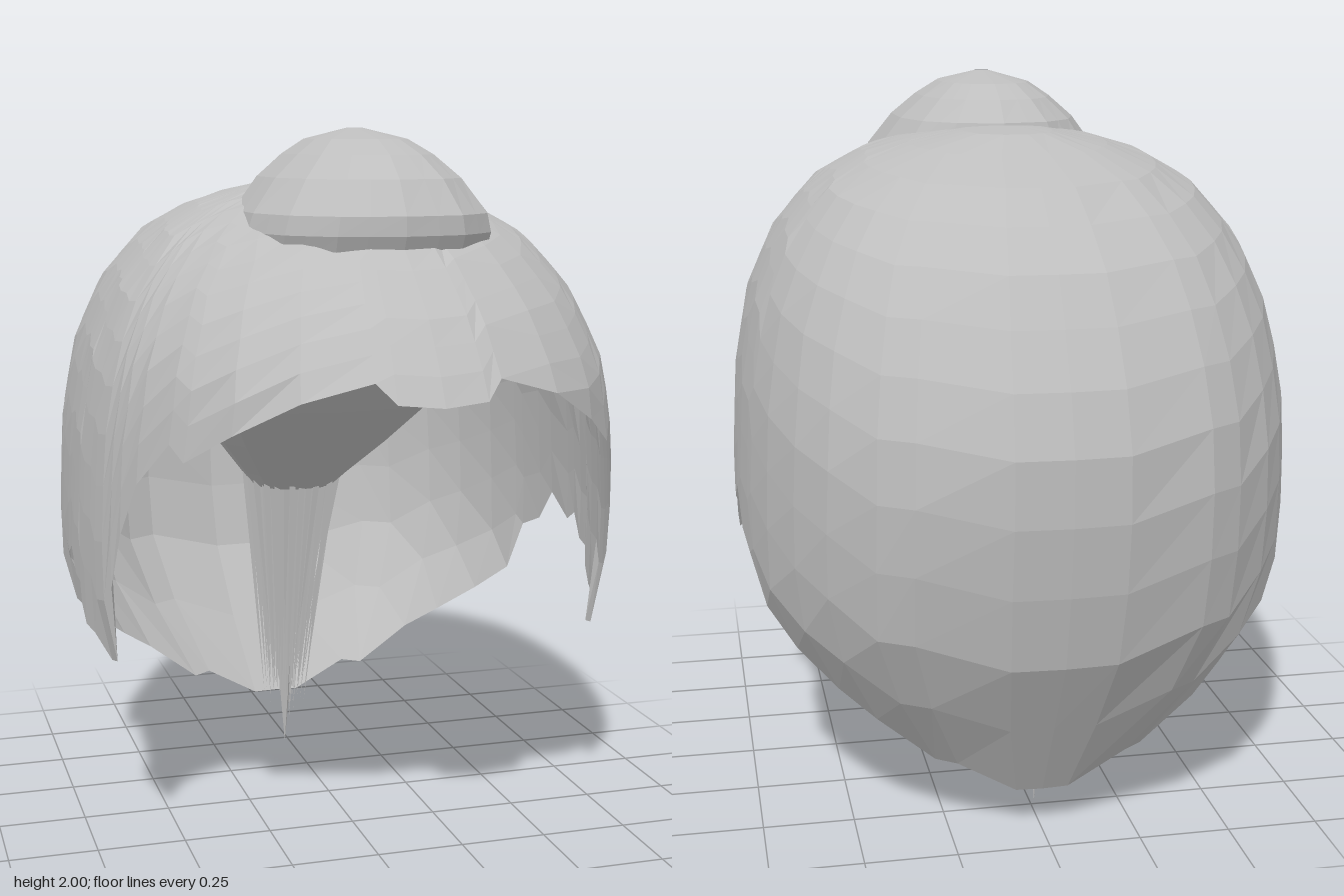
import * as THREE from 'three';

const hairGrey = new THREE.MeshStandardMaterial({ color: 0xbebebe, flatShading: true, side: THREE.DoubleSide });
hairGrey.name = 'hairGrey';

// Piecewise linear lookup in a list of [key, value] with falling keys.
function lookup(list, k) {
  if (k >= list[0][0]) return list[0][1];
  for (let i = 1; i < list.length; i++) {
    const [k0, v0] = list[i - 1], [k1, v1] = list[i];
    if (k >= k1) return v0 + (v1 - v0) * (k0 - k) / (k0 - k1);
  }
  return list[list.length - 1][1];
}

// Skin closed rings of points, listed from top to bottom.
function loft(rings) {
  const n = rings[0].length, index = [];
  for (let r = 0; r < rings.length - 1; r++) {
    for (let i = 0; i < n; i++) {
      const a = r * n + i, b = r * n + (i + 1) % n;
      index.push(a, a + n, b, b, a + n, b + n);
    }
  }
  const g = new THREE.BufferGeometry();
  g.setAttribute('position', new THREE.Float32BufferAttribute(rings.flat(2), 3));
  g.setIndex(index);
  g.computeVertexNormals();
  return g;
}

function addMesh(group, name, geometry) {
  const m = new THREE.Mesh(geometry, hairGrey);
  m.name = name;
  group.add(m);
}

// Cap outline by height: reach to the front, to the back and to the sides.
const TOP = 1.87;
const front = [[1.87, 0], [1.82, 0.35], [1.69, 0.7], [1.53, 0.88], [1.4, 0.97], [1.34, 1]];
const back = [[1.87, 0], [1.86, 0.25], [1.74, 0.6], [1.53, 0.82], [1.3, 0.94], [1.1, 1],
  [0.85, 0.98], [0.58, 0.92], [0.45, 0.85], [0.22, 0.7], [0.12, 0.65]];
const side = [[1.87, 0], [1.85, 0.2], [1.8, 0.38], [1.72, 0.52], [1.58, 0.64], [1.4, 0.72],
  [1.18, 0.76], [0.9, 0.775], [0.65, 0.77], [0.5, 0.7], [0.3, 0.57], [0.12, 0.38]];

// Jagged hairline of one side, front to back, as [z, y].
const hairline = [[1, 1.34], [0.985, 1.35], [0.95, 1.4], [0.9, 1.35], [0.79, 1.26], [0.68, 1.18], [0.63, 1.22],
  [0.52, 1.1], [0.45, 0.95], [0.4, 0.8], [0.35, 0.58], [0.3, 0.57], [0.26, 0.64], [0.2, 0.65],
  [0.16, 0.7], [0.15, 0.76], [0.1, 0.77], [0.05, 0.84], [0, 0.81], [-0.12, 0.87], [-0.2, 0.77],
  [-0.3, 0.73], [-0.33, 0.58], [-0.43, 0.49], [-0.52, 0.4], [-0.58, 0.33], [-0.6, 0.21],
  [-0.64, 0.21], [-0.645, 0.12], [-0.65, 0.12]];

function capGeometry() {
  const columns = hairline.map(([z, y]) => ({
    rim: y, u: THREE.MathUtils.clamp(z / lookup(z > 0 ? front : back, y), -1, 1), sx: 1 }));
  const mirrored = columns.slice(1, -1).reverse().map((c) => ({ ...c, sx: -1 }));
  const rings = [], rows = 13;
  for (let r = 0; r <= rows; r++) {
    rings.push([...columns, ...mirrored].map(({ rim, u, sx }) => {
      const y = TOP - (TOP - rim) * (r / rows) ** 1.8;
      const p = u > 0 ? 2.1 : 2.4;
      const x = lookup(side, y) * (1 - Math.abs(u) ** p) ** (1 / p);
      return [sx * x, y, u * lookup(u > 0 ? front : back, y)];
    }));
  }
  return loft(rings);
}

// Gathered hair: rises through the cap as a bump and narrows to the tail inside.
// Each ring: height, centre z, half depth, half width.
const gathered = [[2, 0.25, 0.02, 0.02], [1.97, 0.25, 0.21, 0.13], [1.93, 0.26, 0.3, 0.19],
  [1.87, 0.27, 0.37, 0.26], [1.78, 0.29, 0.41, 0.33], [1.73, 0.28, 0.42, 0.345], [1.67, 0.25, 0.42, 0.34],
  [1.5, 0.12, 0.42, 0.4], [1.32, -0.08, 0.36, 0.4], [1.2, -0.18, 0.32, 0.37], [1.06, -0.3, 0.25, 0.27],
  [0.94, -0.4, 0.18, 0.17], [0.89, -0.43, 0.14, 0.13], [0.87, -0.43, 0.05, 0.05], [0.865, -0.43, 0.001, 0.001]];

function gatheredGeometry() {
  const n = 28;
  return loft(gathered.map(([y, zc, rz, rx]) => Array.from({ length: n }, (_, i) => {
    const t = (i / n) * Math.PI * 2, e = 0.85;
    const groove = 1 - 0.02 * (i % 2);
    const s = Math.sin(t), c = Math.cos(t);
    return [Math.sign(s) * Math.abs(s) ** e * rx * groove, y,
      zc + Math.sign(c) * Math.abs(c) ** e * rz * groove];
  })));
}

// Hanging tail: thin three-sided strands drawn towards one tip.
function addTail(group) {
  let seed = 7;
  const rand = () => (seed = (seed * 16807) % 2147483647) / 2147483647;
  const tail = new THREE.Group();
  tail.name = 'tail';
  const up = new THREE.Vector3(0, -1, 0);
  for (let i = 0; i < 110; i++) {
    const a = i * 2.4, r = Math.sqrt((i + 0.5) / 110);
    const start = new THREE.Vector3(0.155 * r * Math.sin(a), 0.94, -0.42 + 0.15 * r * Math.cos(a));
    const tip = new THREE.Vector3(start.x * 0.45 - 0.012, 0.04 + 0.28 * r * rand() + 0.12 * r,
      -0.475 + (start.z + 0.42) * 0.65);
    if (i === 0) tip.set(-0.018, 0, -0.47);
    const dir = tip.clone().sub(start), len = dir.length();
    const g = new THREE.ConeGeometry(0.012, len, 3, 1, true);
    g.rotateX(Math.PI);
    const q = new THREE.Quaternion().setFromUnitVectors(up, dir.normalize());
    g.applyQuaternion(q);
    const mid = start.add(tip).multiplyScalar(0.5);
    g.translate(mid.x, mid.y, mid.z);
    addMesh(tail, 'strand', g);
  }
  // Solid lock in the middle of the strands
  const lock = new THREE.ConeGeometry(0.085, 0.93, 7, 1, true);
  lock.rotateX(Math.PI);
  lock.translate(-0.015, 0.465, -0.47);
  addMesh(tail, 'lock', lock);
  group.add(tail);
}

export function createModel() {
  const group = new THREE.Group();
  group.name = 'hair';
  addMesh(group, 'cap', capGeometry());
  addMesh(group, 'gatheredHair', gatheredGeometry());
  addTail(group);
  return group;
}
